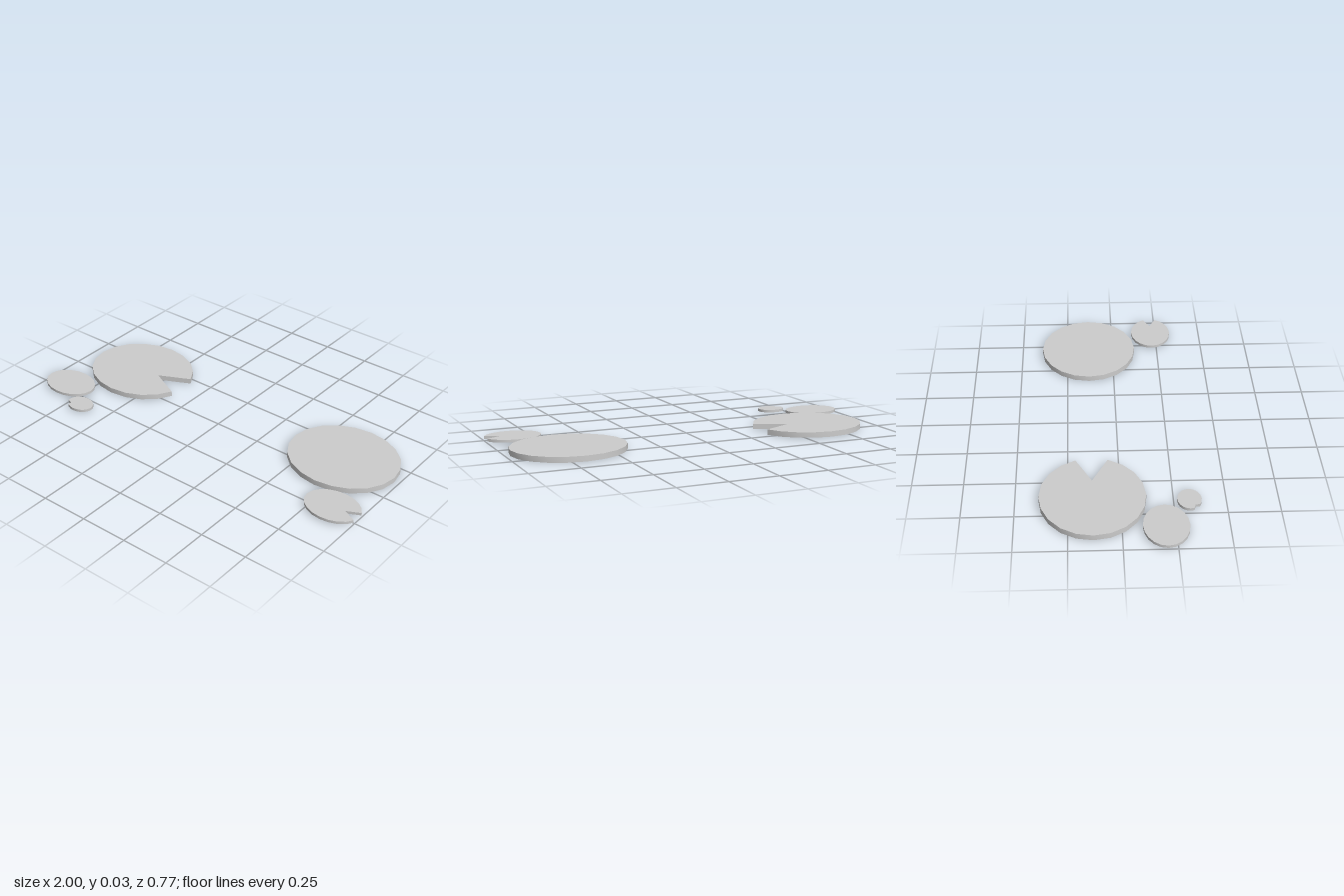
import * as THREE from 'three';
import { toCreasedNormals } from 'three/addons/utils/BufferGeometryUtils.js';

const SIDES = 20;
const material = new THREE.MeshStandardMaterial({ color: 0xcccccc });

// Flat oval pad; the rim corner at index notch.at is pulled in to notch.depth of the radius.
function makePad({ name, x, z, rx, rz, y, height, notch }) {
  const points = [];
  for (let i = 0; i < SIDES; i++) {
    const a = (i / SIDES) * Math.PI * 2;
    const r = notch && notch.at === i ? notch.depth : 1;
    points.push(new THREE.Vector2(Math.cos(a) * rx * r, -Math.sin(a) * rz * r));
  }
  const extruded = new THREE.ExtrudeGeometry(new THREE.Shape(points), {
    depth: height, bevelEnabled: false,
  });
  extruded.rotateX(-Math.PI / 2);
  const pad = new THREE.Mesh(toCreasedNormals(extruded, 0.6), material);
  pad.name = name;
  pad.position.set(x, y, z);
  return pad;
}

export function createModel() {
  const group = new THREE.Group();
  group.name = 'lilyPads';
  const large = { rx: 0.291, rz: 0.255, y: 0, height: 0.028 };
  const small = { rx: 0.146, rz: 0.109, y: 0.008, height: 0.014 };
  const tiny = { rx: 0.073, rz: 0.058, y: 0.008, height: 0.014 };

  group.add(
    // right cluster
    makePad({ ...large, name: 'rightLargePad', x: -0.637, z: -0.133, notch: { at: 0, depth: 0.39 } }),
    makePad({ ...small, name: 'rightSmallPad', x: -0.855, z: 0.204 }),
    makePad({ ...tiny, name: 'rightTinyPad', x: -0.668, z: 0.324, notch: { at: 8, depth: 0.76 } }),
    // left cluster
    makePad({ ...large, name: 'leftLargePad', x: 0.685, z: -0.133 }),
    makePad({ ...small, name: 'leftSmallPad', x: 0.859, z: 0.222, notch: { at: 0, depth: 0.48 } }),
  );
  return group;
}
